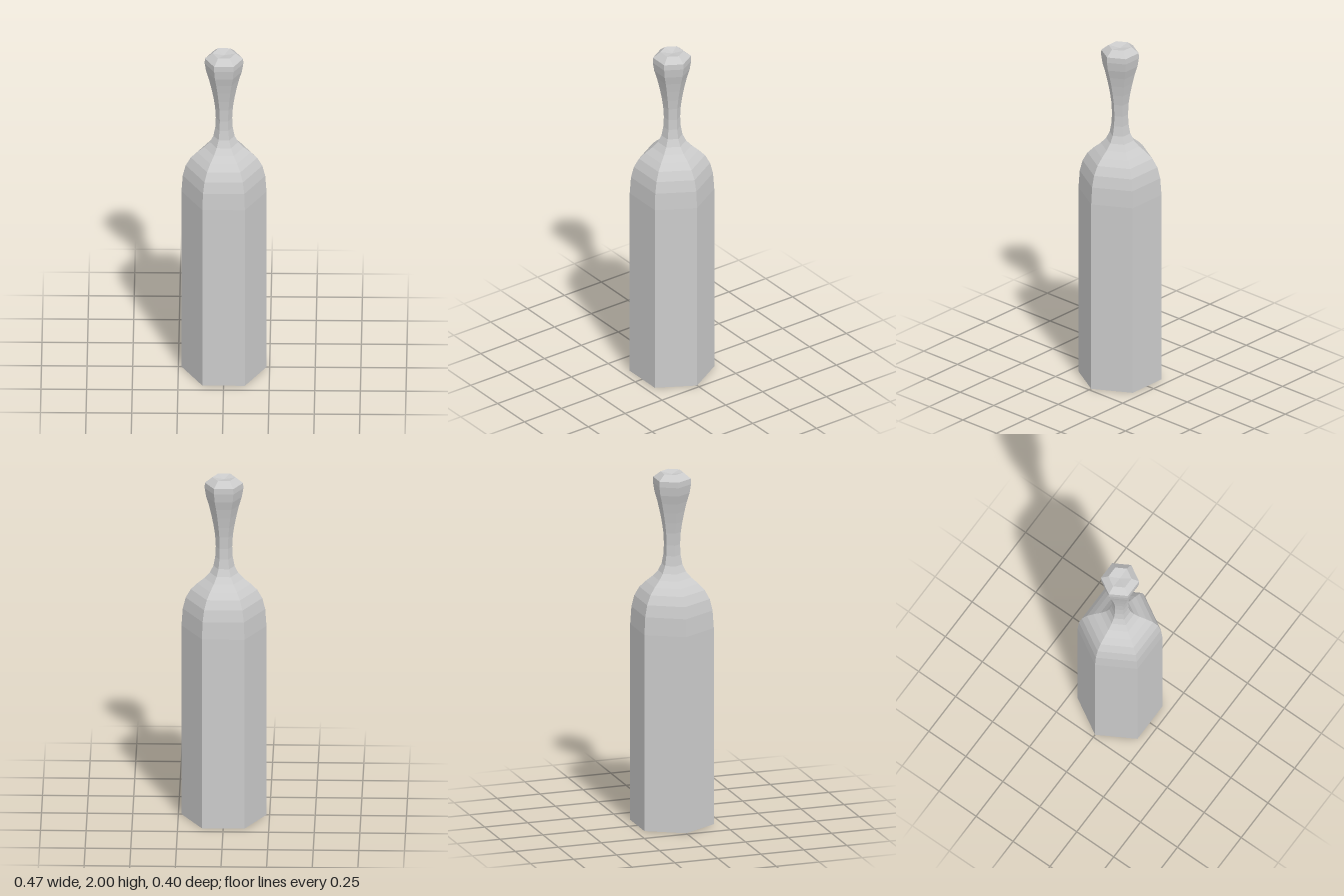
import * as THREE from 'three';

export function createModel() {
  const model = new THREE.Group();
  const material = new THREE.MeshStandardMaterial({ color: 0xcccccc, flatShading: true });

  // Six-sided turned part from [radius, height] pairs, with a corner on each side
  function addTurned(name, profile) {
    const points = profile.map(([r, y]) => new THREE.Vector2(r, y));
    const geometry = new THREE.LatheGeometry(points, 6, Math.PI / 2);
    const mesh = new THREE.Mesh(geometry, material);
    mesh.name = name;
    model.add(mesh);
  }

  // Straight body with a closed base and a rounded shoulder
  addTurned('body', [
    [0, 0], [0.233, 0], [0.233, 1.12], [0.226, 1.22], [0.21, 1.285],
    [0.182, 1.335], [0.147, 1.37], [0.108, 1.402], [0.078, 1.435],
  ]);

  // Slim neck flaring out towards the top
  addTurned('neck', [
    [0.078, 1.435], [0.058, 1.475], [0.048, 1.53], [0.045, 1.59], [0.049, 1.66],
    [0.058, 1.72], [0.07, 1.78], [0.083, 1.835], [0.098, 1.885],
  ]);

  // Knob with a bevelled rim and a shallow dimple
  addTurned('knob', [
    [0.098, 1.885], [0.106, 1.935], [0.105, 1.967], [0.064, 2], [0, 1.988],
  ]);

  return model;
}
